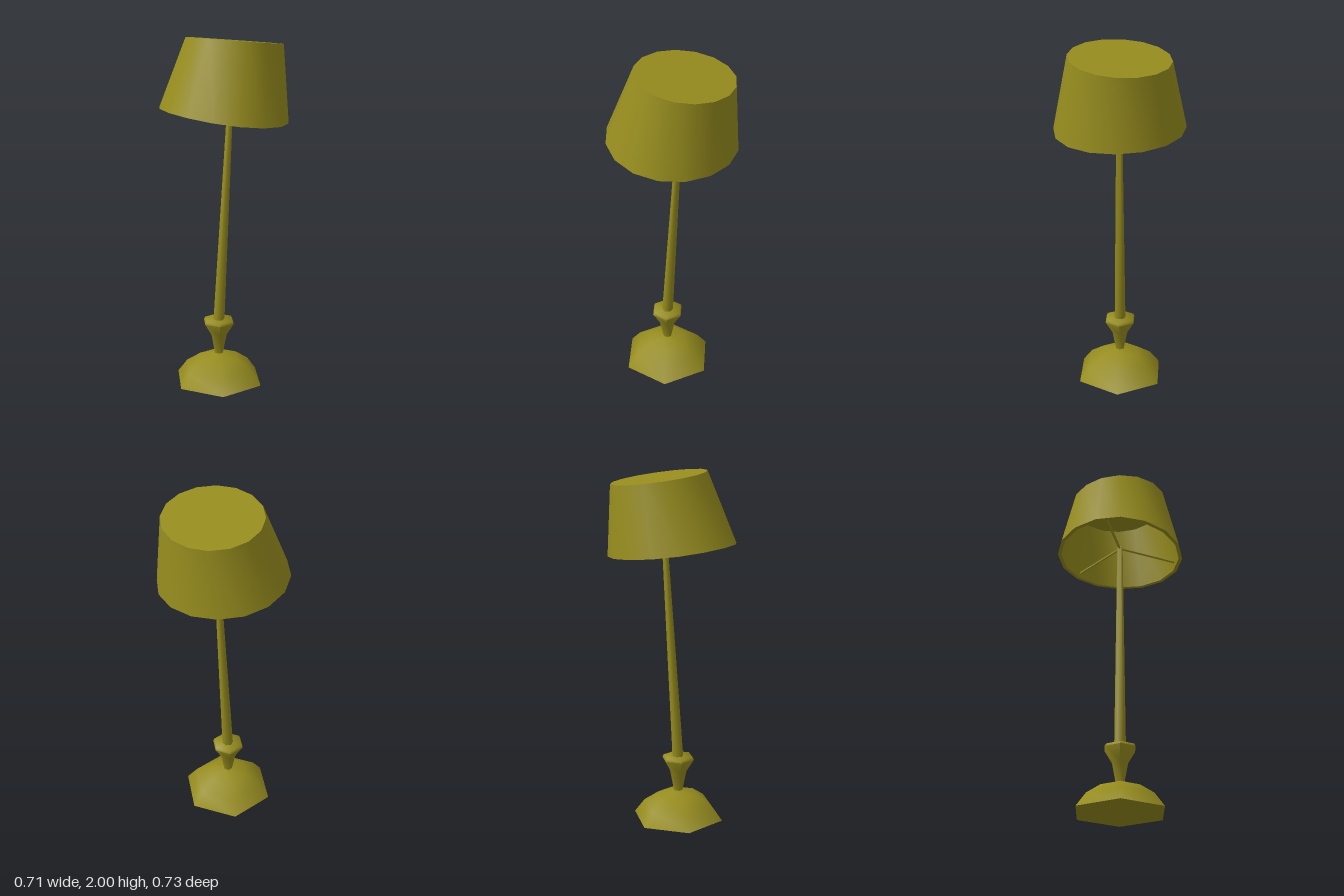
import * as THREE from 'three';
import { toCreasedNormals } from 'three/addons/utils/BufferGeometryUtils.js';

const material = new THREE.MeshStandardMaterial({ color: 0x968c1e });
const STAND_X = -0.035;

function part(name, geometry) {
  const mesh = new THREE.Mesh(geometry, material);
  mesh.name = name;
  return mesh;
}

// Revolved profile with a vertex on the x axis
function turned(profile, sides) {
  const points = profile.map(([r, y]) => new THREE.Vector2(r, y));
  return new THREE.LatheGeometry(points, sides, Math.PI / 2);
}

// Straight tapered rod between two points
function rod(name, from, to, r0, r1, sides) {
  const dir = to.clone().sub(from);
  const mesh = part(name, toCreasedNormals(new THREE.CylinderGeometry(r1, r0, dir.length(), sides), 1.2));
  mesh.position.copy(from).addScaledVector(dir, 0.5);
  mesh.quaternion.setFromUnitVectors(new THREE.Vector3(0, 1, 0), dir.normalize());
  return mesh;
}

// Height of the warped lower rim of the shade
const rimHeight = (x, z) => 1.557 - 0.113 * x + 0.099 * x * x - 0.034 * z;

// Hollow tapered shade, leaning and tilted
function shadeGeometry() {
  const g = turned([
    [0, 0.96], [0.253, 0.96], [0.337, 0], [0.357, 0], [0.265, 1], [0, 1],
  ], 16);
  const p = g.attributes.position;
  for (let i = 0; i < p.count; i++) {
    const x = p.getX(i), t = p.getY(i);
    const z = p.getZ(i) * (1.02 + 0.035 * t);
    const top = 1.964 - 0.123 * x + 0.05 * z;
    p.setXYZ(i, x + 0.075 * t, THREE.MathUtils.lerp(rimHeight(x, z), top, t), z - 0.005 * t);
  }
  return toCreasedNormals(g, 0.7);
}

export function createModel() {
  const lamp = new THREE.Group();
  lamp.name = 'floorLamp';

  // Six-sided domed foot
  const foot = part('foot', toCreasedNormals(turned([
    [0, 0], [0.265, 0], [0.205, 0.08], [0.12, 0.138], [0.03, 0.163], [0, 0.168],
  ], 6), 1.2));
  foot.position.x = STAND_X;

  // Flared cup above the foot
  const cup = part('cup', toCreasedNormals(turned([
    [0, 0.155], [0.025, 0.158], [0.05, 0.28], [0.095, 0.355], [0.087, 0.37], [0, 0.37],
  ], 6), 1.2));
  cup.position.x = STAND_X;

  // Leaning pole
  const hub = new THREE.Vector3(0.046, 1.645, 0);
  lamp.add(foot, cup, rod('pole', new THREE.Vector3(STAND_X, 0.34, 0), hub, 0.032, 0.016, 6));

  // Three spokes carrying the shade
  for (let i = 0; i < 3; i++) {
    const a = -Math.PI / 4 + (i * Math.PI * 2) / 3;
    const x = 0.334 * Math.cos(a), z = 0.334 * Math.sin(a);
    const end = new THREE.Vector3(x, rimHeight(x, z) + 0.03, z);
    lamp.add(rod('shadeSpoke', hub.clone().setY(1.635), end, 0.007, 0.007, 4));
  }

  lamp.add(part('shade', shadeGeometry()));
  return lamp;
}
